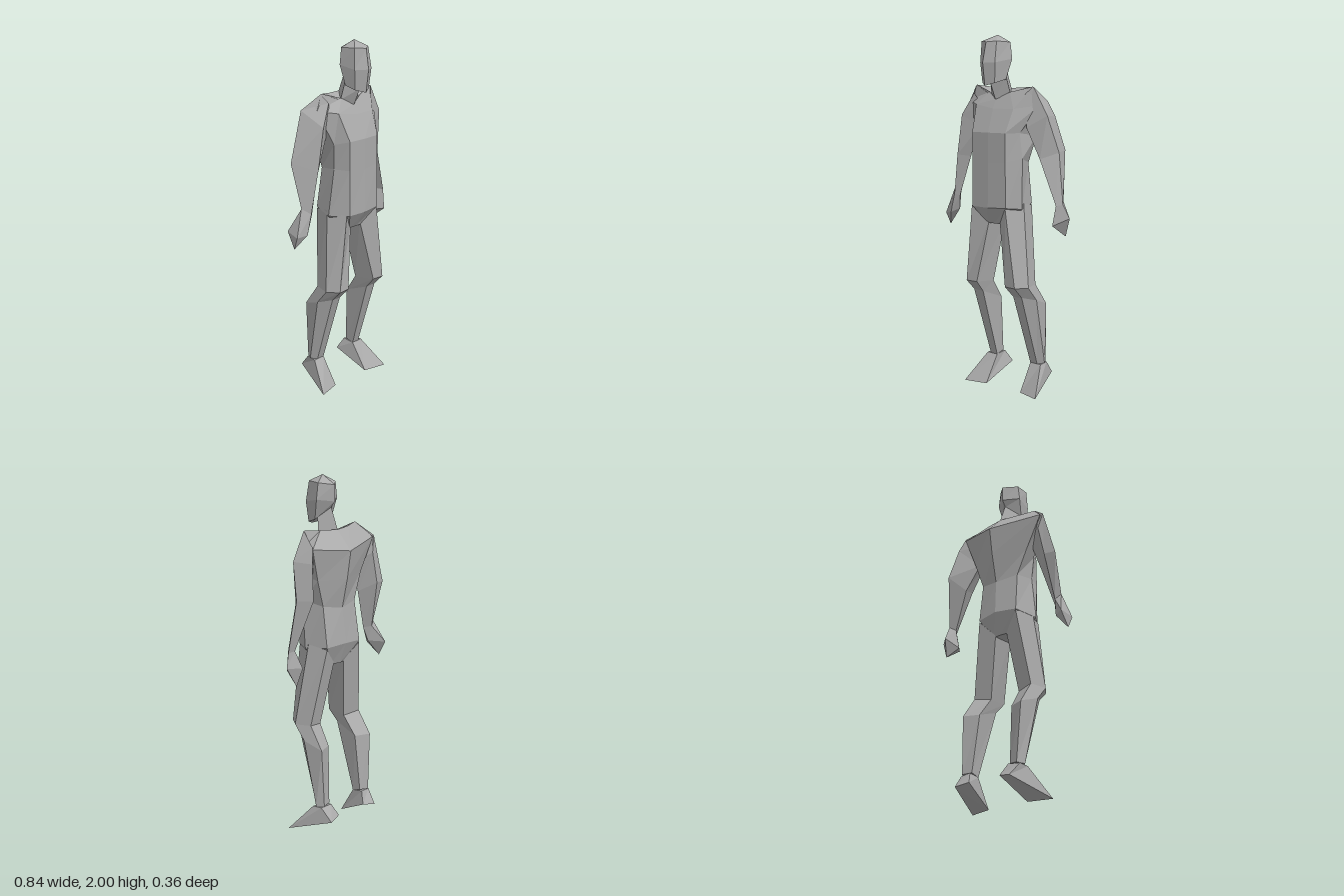
import * as THREE from 'three';

const grey = new THREE.MeshStandardMaterial({ color: 0xaaaaaa, flatShading: true });
grey.name = 'plain grey';

// Joins cross-sections listed top to bottom, each counterclockwise seen from above, and caps both ends.
function loft(name, rings) {
  const n = rings[0].length;
  const index = [];
  for (let r = 0; r < rings.length - 1; r++) {
    for (let i = 0; i < n; i++) {
      const j = (i + 1) % n;
      const a = r * n + i, b = r * n + j, c = b + n, d = a + n;
      index.push(d, c, b, d, b, a);
    }
  }
  const last = (rings.length - 1) * n;
  for (let i = 1; i < n - 1; i++) {
    index.push(0, i, i + 1);
    index.push(last, last + i + 1, last + i);
  }
  let geometry = new THREE.BufferGeometry();
  geometry.setAttribute('position', new THREE.Float32BufferAttribute(rings.flat(2), 3));
  geometry.setIndex(index);
  geometry = geometry.toNonIndexed();
  geometry.computeVertexNormals();
  const mesh = new THREE.Mesh(geometry, grey);
  mesh.name = name;
  return mesh;
}

// A ring shrunk to a single point
const tip = (n, p) => Array.from({ length: n }, () => p);

// Mirrors leg sections to the right side; the stance shifts sideways toward the ground.
const mirrorRings = (rings) => rings.map((ring) =>
  ring.map(([x, y, z]) => [-x + 0.04 * Math.max(0, 1 - y / 1.05), y, z]).reverse());

export function createModel() {
  const model = new THREE.Group();
  model.name = 'standingFigure';

  // Head: front, left cheek, left rear, back, right rear, right cheek
  model.add(loft('head', [
    tip(6, [0.01, 2, 0.07]),
    [[0.005, 1.96, 0.16], [0.055, 1.965, 0.13], [0.075, 1.96, 0.04],
      [0.01, 1.95, -0.022], [-0.06, 1.96, 0.04], [-0.055, 1.965, 0.13]],
    [[0, 1.85, 0.182], [0.06, 1.85, 0.15], [0.088, 1.87, 0.04],
      [0.01, 1.86, -0.022], [-0.072, 1.87, 0.04], [-0.06, 1.85, 0.137]],
    [[0, 1.725, 0.165], [0.05, 1.74, 0.14], [0.07, 1.76, 0.07],
      [0.01, 1.825, 0.005], [-0.06, 1.76, 0.07], [-0.05, 1.74, 0.13]],
  ]));

  // Neck
  model.add(loft('neck', [
    [[0, 1.74, 0.12], [0.06, 1.78, 0.06], [0.01, 1.83, 0.005], [-0.05, 1.78, 0.06]],
    [[0, 1.65, 0.08], [0.075, 1.68, 0.04], [0.01, 1.71, -0.043], [-0.065, 1.68, 0.04]],
  ]));

  // Torso: front centre, left front, left side, left back, spine, then the right side
  model.add(loft('torso', [
    [[0, 1.65, 0.075], [0.08, 1.69, 0.05], [0.21, 1.72, 0.01], [0.12, 1.715, -0.02],
      [0.01, 1.71, -0.043], [-0.1, 1.715, -0.015], [-0.195, 1.727, 0.02], [-0.07, 1.69, 0.05]],
    [[0, 1.6, 0.1], [0.14, 1.6, 0.09], [0.25, 1.62, 0], [0.24, 1.63, -0.083],
      [0.01, 1.605, -0.143], [-0.28, 1.64, -0.042], [-0.24, 1.64, 0.03], [-0.135, 1.62, 0.09]],
    [[0.01, 1.47, 0.152], [0.125, 1.47, 0.14], [0.17, 1.47, 0.07], [0.18, 1.45, -0.06],
      [0.01, 1.45, -0.118], [-0.18, 1.45, -0.04], [-0.15, 1.45, 0.07], [-0.11, 1.47, 0.15]],
    [[0.01, 1.3, 0.152], [0.125, 1.31, 0.14], [0.18, 1.33, 0.06], [0.13, 1.3, -0.05],
      [0.01, 1.28, -0.08], [-0.12, 1.3, -0.05], [-0.14, 1.31, 0.06], [-0.11, 1.31, 0.15]],
    [[0.01, 1.055, 0.155], [0.13, 1.06, 0.14], [0.17, 1.05, 0.05], [0.13, 1.07, -0.08],
      [0, 1.08, -0.1], [-0.13, 1.07, -0.08], [-0.175, 1.05, 0.05], [-0.11, 1.055, 0.15]],
    [[0, 0.96, 0.09], [0.05, 0.96, 0.09], [0.1, 0.97, 0.03], [0.06, 0.96, -0.04],
      [0, 0.955, -0.05], [-0.06, 0.96, -0.04], [-0.1, 0.97, 0.03], [-0.05, 0.96, 0.09]],
  ]));

  // Left arm, swung back: front, outer, back, inner
  const leftWrist = [[0.36, 1.08, -0.01], [0.385, 1.085, -0.04], [0.365, 1.1, -0.07], [0.34, 1.085, -0.04]];
  model.add(loft('leftArm', [
    [[0.18, 1.68, 0.04], [0.215, 1.72, 0.01], [0.24, 1.64, -0.083], [0.16, 1.6, -0.02]],
    [[0.2, 1.5, 0.05], [0.305, 1.565, 0], [0.27, 1.56, -0.11], [0.18, 1.47, -0.02]],
    [[0.27, 1.33, 0.02], [0.34, 1.365, -0.06], [0.307, 1.375, -0.155], [0.25, 1.31, -0.06]],
    leftWrist,
  ]));
  model.add(loft('leftHand', [
    leftWrist,
    [[0.35, 0.97, 0.008], [0.417, 1.01, -0.06], [0.354, 1.01, -0.118], [0.305, 0.96, -0.05]],
    tip(4, [0.37, 0.905, -0.085]),
  ]));

  // Right arm, swung forward: front, inner, back, outer
  const rightWrist = [[-0.33, 1.1, 0.07], [-0.305, 1.09, 0.05], [-0.335, 1.1, 0.01], [-0.365, 1.13, 0.03]];
  model.add(loft('rightArm', [
    [[-0.18, 1.68, 0.06], [-0.14, 1.61, 0.03], [-0.27, 1.64, -0.045], [-0.2, 1.725, 0.02]],
    [[-0.25, 1.56, 0.087], [-0.17, 1.49, 0.03], [-0.27, 1.55, -0.05], [-0.295, 1.645, -0.035]],
    [[-0.29, 1.33, 0.085], [-0.235, 1.32, 0.03], [-0.31, 1.37, -0.05], [-0.375, 1.37, -0.035]],
    rightWrist,
  ]));
  model.add(loft('rightHand', [
    rightWrist,
    [[-0.36, 0.99, 0.07], [-0.325, 1.01, 0.03], [-0.405, 1, -0.036], [-0.42, 0.98, 0.05]],
    tip(4, [-0.412, 0.91, 0.02]),
  ]));

  // Legs: inner front, outer front, outer side, outer back, inner back
  const leg = [
    [[0.04, 0.98, 0.09], [0.125, 1.055, 0.14], [0.165, 1.08, 0.03], [0.13, 1.06, -0.08], [0.04, 0.965, -0.045]],
    [[0.115, 0.62, 0.13], [0.19, 0.62, 0.135], [0.235, 0.62, 0.07], [0.205, 0.625, -0.025], [0.105, 0.61, 0]],
    [[0.125, 0.555, 0.07], [0.19, 0.56, 0.075], [0.235, 0.54, 0], [0.21, 0.5, -0.115], [0.12, 0.5, -0.08]],
    [[0.145, 0.155, -0.055], [0.195, 0.155, -0.055], [0.225, 0.16, -0.085], [0.2, 0.165, -0.125], [0.145, 0.17, -0.11]],
  ];
  // Feet with raised heels and splayed toes
  const foot = [
    [[0.145, 0.155, -0.055], [0.22, 0.155, -0.055], [0.215, 0.16, -0.115], [0.145, 0.165, -0.125]],
    [[0.15, 0, 0.04], [0.29, 0, 0.075], [0.2, 0.085, -0.182], [0.12, 0.1, -0.162]],
  ];
  model.add(loft('leftLeg', leg), loft('leftFoot', foot));
  model.add(loft('rightLeg', mirrorRings(leg)), loft('rightFoot', mirrorRings(foot)));

  return model;
}
